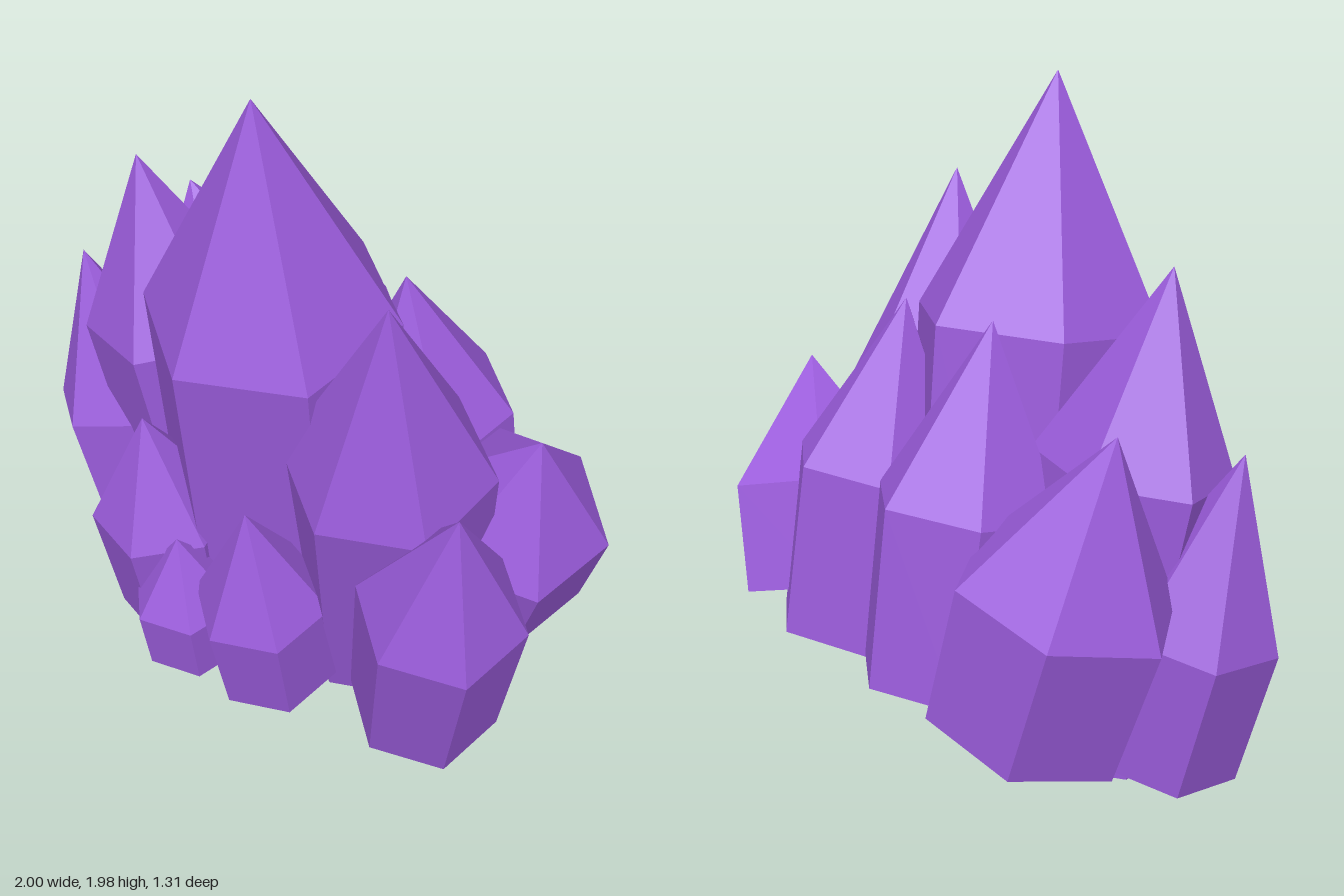
import * as THREE from 'three';

// name, base centre, tip, shoulder height (fraction of length), shoulder radius, base radius, turn in degrees
const CRYSTALS = [
  ['centralCrystal', [-0.03, 0.095, -0.005], [0.03, 1.98, 0.21], 0.608, 0.395, 0.385, 87],
  ['tallLeftCrystal', [0.36, 0.075, -0.055], [0.585, 1.6, 0.23], 0.565, 0.32, 0.29, 25],
  ['tallRightCrystal', [-0.425, 0.07, -0.045], [-0.575, 1.515, 0.15], 0.6, 0.297, 0.27, 7],
  ['frontRightCrystal', [-0.2, 0.08, 0.335], [-0.19, 0.9, 0.475], 0.52, 0.23, 0.21, 7],
  ['frontLeftCrystal', [0.24, 0.08, 0.33], [0.265, 0.81, 0.465], 0.458, 0.215, 0.2, 30],
  ['smallestCrystal', [-0.01, 0.095, 0.45], [0, 0.56, 0.515], 0.47, 0.178, 0.17, 37],
  ['outerLeftCrystal', [0.66, 0.06, 0.09], [0.895, 1.08, 0.25], 0.545, 0.257, 0.235, 29],
  ['outerRightCrystal', [-0.655, 0.08, 0.08], [-0.855, 1.04, 0.18], 0.435, 0.25, 0.235, 28],
  ['backOuterRightCrystal', [-0.58, 0.28, -0.35], [-0.8, 1.16, -0.23], 0.46, 0.33, 0.31, 47],
  ['backRightCrystal', [-0.23, 0.28, -0.38], [-0.22, 1.34, -0.21], 0.5, 0.295, 0.28, 30],
  ['backLeftCrystal', [0.255, 0.27, -0.38], [0.225, 1.31, -0.21], 0.505, 0.288, 0.275, 30],
  ['backOuterLeftCrystal', [0.53, 0.3, -0.325], [0.77, 1.0, -0.23], 0.455, 0.312, 0.305, 30],
];

// six-sided tapered prism with a pointed top, standing on its own origin
function crystalGeometry(length, shoulder, radius, baseRadius, turn) {
  const profile = [[0, 0], [baseRadius, 0], [radius, length * shoulder], [0, length]]
    .map(([r, y]) => new THREE.Vector2(r, y));
  const geometry = new THREE.LatheGeometry(profile, 6, THREE.MathUtils.degToRad(90 - turn)).toNonIndexed();
  geometry.computeVertexNormals();
  return geometry;
}

export function createModel() {
  const cluster = new THREE.Group();
  cluster.name = 'crystalCluster';
  const material = new THREE.MeshStandardMaterial({ color: 0x9b5cdc, flatShading: true });
  const up = new THREE.Vector3(0, 1, 0);

  // each crystal leans along the line from its base to its tip
  for (const [name, base, tip, shoulder, radius, baseRadius, turn] of CRYSTALS) {
    const start = new THREE.Vector3(...base);
    const axis = new THREE.Vector3(...tip).sub(start);
    const crystal = new THREE.Mesh(crystalGeometry(axis.length(), shoulder, radius, baseRadius, turn), material);
    crystal.name = name;
    crystal.position.copy(start);
    crystal.quaternion.setFromUnitVectors(up, axis.normalize());
    cluster.add(crystal);
  }
  return cluster;
}
